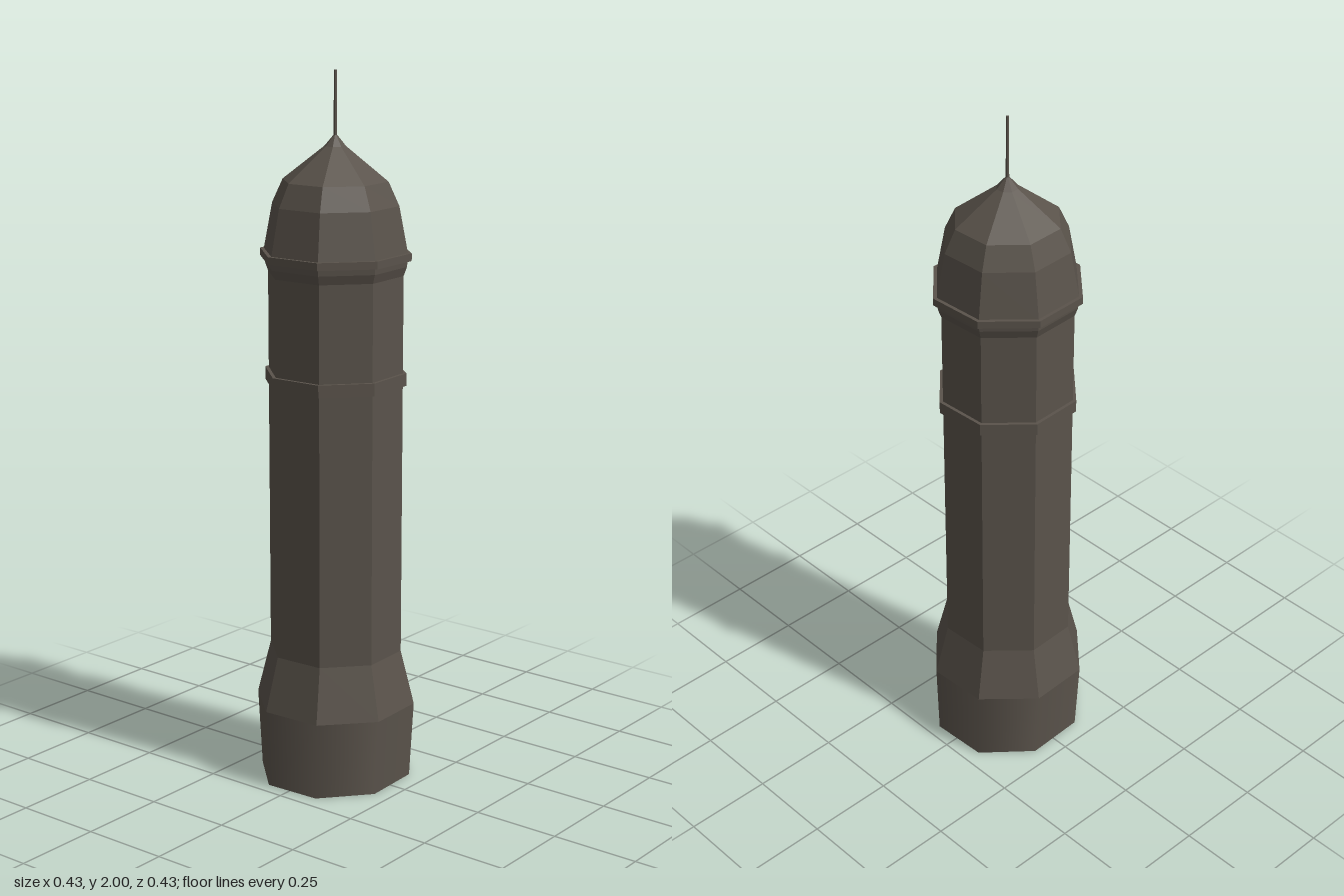
import * as THREE from 'three';

const SIDES = 8;
const TURN = THREE.MathUtils.degToRad(25); // corners sit slightly off the axes

export function createModel() {
  const group = new THREE.Group();
  const faceted = new THREE.MeshStandardMaterial({ color: 0x5a534b, flatShading: true });
  const smooth = new THREE.MeshStandardMaterial({ color: 0x5a534b });

  const add = (name, geometry, material) => {
    const mesh = new THREE.Mesh(geometry, material);
    mesh.name = name;
    group.add(mesh);
    return mesh;
  };

  // Eight-sided solid from a profile of [radius, height], bottom to top
  const turned = (name, profile) => add(name, new THREE.LatheGeometry(
    profile.map(([r, y]) => new THREE.Vector2(r, y)), SIDES, TURN), faceted);

  // Plinth, its foot slightly narrower and squeezed front to back
  const plinth = new THREE.CylinderGeometry(0.229, 0.229, 0.22, SIDES, 1, false, TURN);
  plinth.translate(0, 0.11, 0);
  const pos = plinth.attributes.position;
  for (let i = 0; i < pos.count; i++) {
    if (pos.getY(i) < 0.01) pos.setXYZ(i, pos.getX(i) * 0.985, 0, pos.getZ(i) * 0.935);
  }
  add('plinth', plinth, smooth);

  // Sloped skirt up to the shaft, which flares just under the cornice
  turned('skirt', [[0.229, 0.22], [0.19, 0.375]]);
  turned('shaft', [[0.19, 0.375], [0.19, 1.45], [0.199, 1.475], [0.201, 1.495]]);

  // Projecting bands
  const band = (name, r, y0, y1) =>
    turned(name, [[0.17, y0], [r, y0], [r, y1], [0.17, y1]]);
  band('middleBand', 0.2, 1.145, 1.18);
  band('cornice', 0.212, 1.492, 1.513);

  // Dome and finial
  turned('dome', [[0.202, 1.51], [0.177, 1.64], [0.147, 1.705], [0.03, 1.797], [0.004, 1.828]]);
  const finial = add('finial', new THREE.CylinderGeometry(0.004, 0.005, 0.18, SIDES, 1, false, TURN), faceted);
  finial.position.y = 1.91;

  return group;
}
